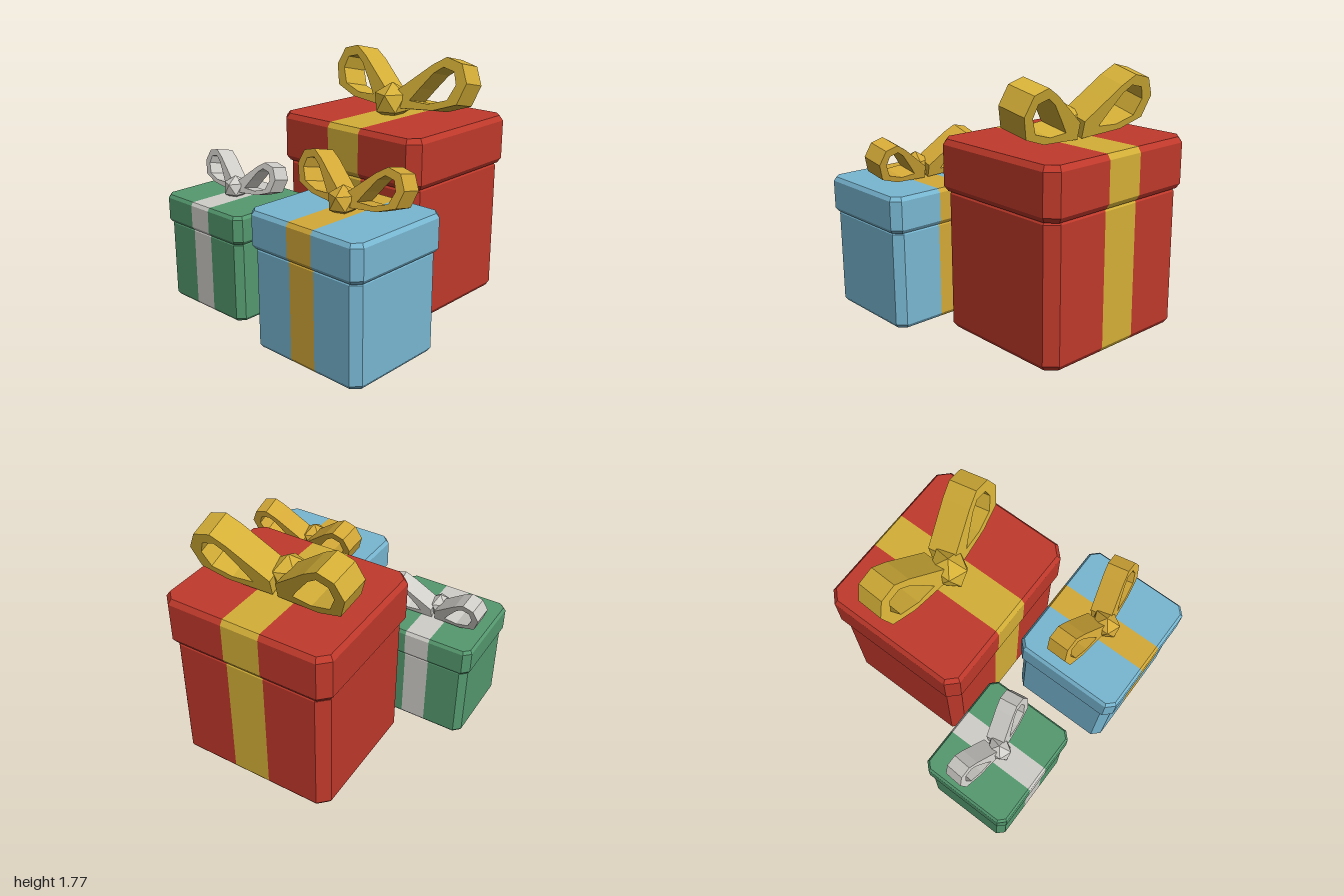
import * as THREE from 'three';

const mat = (name, color, side = THREE.FrontSide) => {
  const m = new THREE.MeshStandardMaterial({ color, side });
  m.name = name;
  return m;
};

// Chamfered block with a ribbon band (half width rib) painted over front, back and top.
function bandedBlock(hx, hz, y0, y1, cut, inset, rise, rib) {
  const ring = (d, y) => {
    const x = hx - d, z = hz - d, c = cut - d * 0.5;
    return [
      [rib, y, z], [x - c, y, z], [x, y, z - c], [x, y, -z + c], [x - c, y, -z], [rib, y, -z],
      [-rib, y, -z], [-x + c, y, -z], [-x, y, -z + c], [-x, y, z - c], [-x + c, y, z], [-rib, y, z],
    ];
  };
  const rings = [ring(inset, y0), ring(0, y0 + rise), ring(0, y1 - rise), ring(inset, y1)];
  const parts = [[], []]; // paper, ribbon
  const fan = (out, p) => {
    for (let i = 1; i < p.length - 1; i++) out.push(...p[0], ...p[i], ...p[i + 1]);
  };
  // Side walls
  for (let k = 0; k < 3; k++) {
    for (let i = 0; i < 12; i++) {
      const j = (i + 1) % 12, a = rings[k], b = rings[k + 1];
      fan(parts[i === 5 || i === 11 ? 1 : 0], [a[i], a[j], b[j], b[i]]);
    }
  }
  // Top in three pieces, plain bottom
  const t = rings[3];
  fan(parts[0], t.slice(0, 6));
  fan(parts[0], t.slice(6, 12));
  fan(parts[1], [t[11], t[0], t[5], t[6]]);
  fan(parts[0], [...rings[0]].reverse());

  const g = new THREE.BufferGeometry();
  g.setAttribute('position', new THREE.Float32BufferAttribute([...parts[0], ...parts[1]], 3));
  g.addGroup(0, parts[0].length / 3, 0);
  g.addGroup(parts[0].length / 3, parts[1].length / 3, 1);
  g.computeVertexNormals();
  return g;
}

// Bow with two swept-back loops and a faceted knot, standing on y = 0
const OUTER = [[0.04, 0.17], [0.2, 0.3], [0.31, 0.39], [0.415, 0.455], [0.54, 0.425],
  [0.6, 0.3], [0.55, 0.15], [0.37, 0.085], [0.04, 0.055]];
const HOLE = [[0.52, 0.28], [0.49, 0.365], [0.4, 0.385], [0.33, 0.335], [0.24, 0.22],
  [0.17, 0.125], [0.323, 0.122], [0.47, 0.17]];

function makeBow(material) {
  const bow = new THREE.Group();
  bow.name = 'bow';
  for (const side of [1, -1]) {
    const pts = (list) => list.map(([x, y]) => new THREE.Vector2(x * side, y * 1.02));
    const shape = new THREE.Shape(pts(OUTER));
    shape.holes.push(new THREE.Path(pts(HOLE)));
    const geo = new THREE.ExtrudeGeometry(shape, { depth: 0.215, bevelEnabled: false });
    geo.translate(0, 0, -0.215);
    const loop = new THREE.Mesh(geo, material);
    loop.name = side > 0 ? 'leftBowLoop' : 'rightBowLoop';
    loop.rotation.set(-0.227, 0.09 * side, 0);
    loop.position.z = 0.078;
    bow.add(loop);
  }
  const knotGeo = new THREE.IcosahedronGeometry(0.14, 0);
  knotGeo.rotateX(-1.017).rotateY(Math.PI / 2).scale(0.95, 1, 1.1);
  const knot = new THREE.Mesh(knotGeo, material);
  knot.name = 'bowKnot';
  knot.position.set(0, 0.09, 0.017);
  bow.add(knot);
  return bow;
}

// One gift: body, overhanging lid and bow
function makeGift(name, o) {
  const gift = new THREE.Group();
  gift.name = name;
  gift.position.set(o.x, 0, o.z);
  const s = o.scale, mats = [o.paper, o.ribbon];
  const block = (hx, hz, y0, y1) =>
    bandedBlock(hx, hz, y0, y1, 0.075 * s, 0.024 * s, 0.036 * s, o.rib);

  const body = new THREE.Mesh(block(o.hx - 0.03 * s, o.hz - 0.027 * s, 0, o.bodyTop), mats);
  body.name = 'boxBody';
  const lid = new THREE.Mesh(block(o.hx, o.hz, o.lidBottom, o.top), mats);
  lid.name = 'boxLid';
  const bow = makeBow(o.ribbon);
  bow.scale.setScalar(s);
  bow.position.y = o.top;
  gift.add(body, lid, bow);
  return gift;
}

export function createModel() {
  const red = mat('red paper', 0xc0392b);
  const green = mat('green paper', 0x55996f);
  const blue = mat('blue paper', 0x78b7d2);
  const gold = mat('gold ribbon', 0xd4af37);
  const amber = mat('amber gold ribbon', 0xd4a937);
  const silver = mat('silver ribbon', 0xd0cec9);

  const model = new THREE.Group();
  model.name = 'giftBoxes';
  model.add(
    makeGift('largeGift', { x: 0.067, z: -0.438, hx: 0.632, hz: 0.542, bodyTop: 0.99, lidBottom: 0.972,
      top: 1.322, rib: 0.141, scale: 1, paper: red, ribbon: gold }),
    makeGift('mediumGift', { x: 0.526, z: 0.574, hx: 0.472, hz: 0.405, bodyTop: 0.705, lidBottom: 0.69,
      top: 0.943, rib: 0.103, scale: 0.745, paper: blue, ribbon: amber }),
    makeGift('smallGift', { x: -0.6, z: 0.498, hx: 0.4, hz: 0.343, bodyTop: 0.585, lidBottom: 0.573,
      top: 0.776, rib: 0.091, scale: 0.63, paper: green, ribbon: silver }),
  );
  return model;
}
